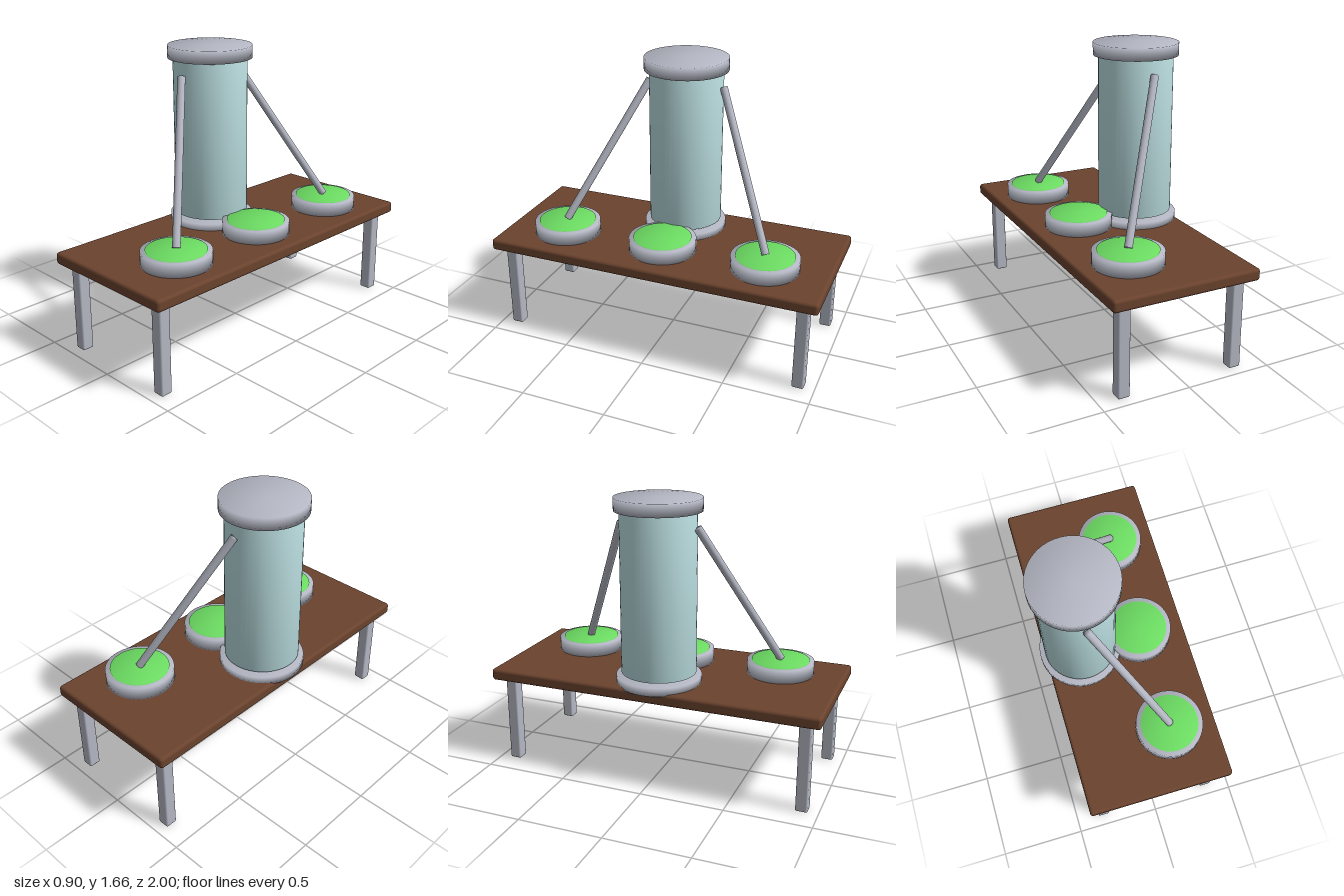
import * as THREE from 'three';
import { mergeVertices } from 'three/addons/utils/BufferGeometryUtils.js';
import { RoundedBoxGeometry } from 'three/addons/geometries/RoundedBoxGeometry.js';

function material(name, color) {
  const m = new THREE.MeshStandardMaterial({ color });
  m.name = name;
  return m;
}

// cylinder with caps and wall sharing smooth normals
function softCylinder(radius, height, segments = 48) {
  let g = new THREE.CylinderGeometry(radius, radius, height, segments);
  g.deleteAttribute('uv');
  g.deleteAttribute('normal');
  g = mergeVertices(g);
  g.computeVertexNormals();
  return g;
}

export function createModel() {
  const model = new THREE.Group();
  model.name = 'tankTable';
  const wood = material('brown wood', 0x6b432e);
  const metal = material('grey metal', 0xb4b7c3);
  const glass = material('pale aqua glass', 0xb9dcde);
  const green = material('bright green', 0x6cdc62);

  function add(name, geometry, mat, x, y, z) {
    const mesh = new THREE.Mesh(geometry, mat);
    mesh.name = name;
    mesh.position.set(x, y, z);
    model.add(mesh);
    return mesh;
  }

  // upright disc or drum between two heights
  function drum(name, radius, y0, y1, mat, x, z) {
    return add(name, softCylinder(radius, y1 - y0), mat, x, (y0 + y1) / 2, z);
  }

  // table
  add('tableTop', new RoundedBoxGeometry(0.87, 0.07, 2, 3, 0.018), wood, 0.014, 0.565, 0);
  for (const x of [-0.328, 0.355]) {
    for (const z of [-0.905, 0.905]) {
      add('tableLeg', new RoundedBoxGeometry(0.07, 0.525, 0.07, 2, 0.01), metal, x, 0.2655, z);
    }
  }

  // tank: base ring, floating body, lid
  const tankX = -0.204;
  drum('tankBase', 0.248, 0.59, 0.64, metal, tankX, 0);
  drum('tankBody', 0.218, 0.658, 1.6, glass, tankX, 0);
  drum('tankLid', 0.248, 1.59, 1.663, metal, tankX, 0);

  // dishes with green pads
  const dishX = 0.17;
  for (const z of [-0.625, 0, 0.625]) {
    drum('dish', 0.198, 0.6, 0.678, metal, dishX, z);
    drum('dishPad', 0.17, 0.64, 0.684, green, dishX, z);
  }

  // slanted pipes from the tank sides to the outer dishes
  for (const side of [-1, 1]) {
    const a = new THREE.Vector3(-0.2, 1.505, 0.23 * side);
    const b = new THREE.Vector3(0.17, 0.688, 0.625 * side);
    const dir = a.clone().sub(b);
    const mid = a.clone().add(b).multiplyScalar(0.5);
    const pipe = add('pipe', softCylinder(0.023, dir.length(), 24), metal, mid.x, mid.y, mid.z);
    pipe.quaternion.setFromUnitVectors(new THREE.Vector3(0, 1, 0), dir.normalize());
  }

  return model;
}
